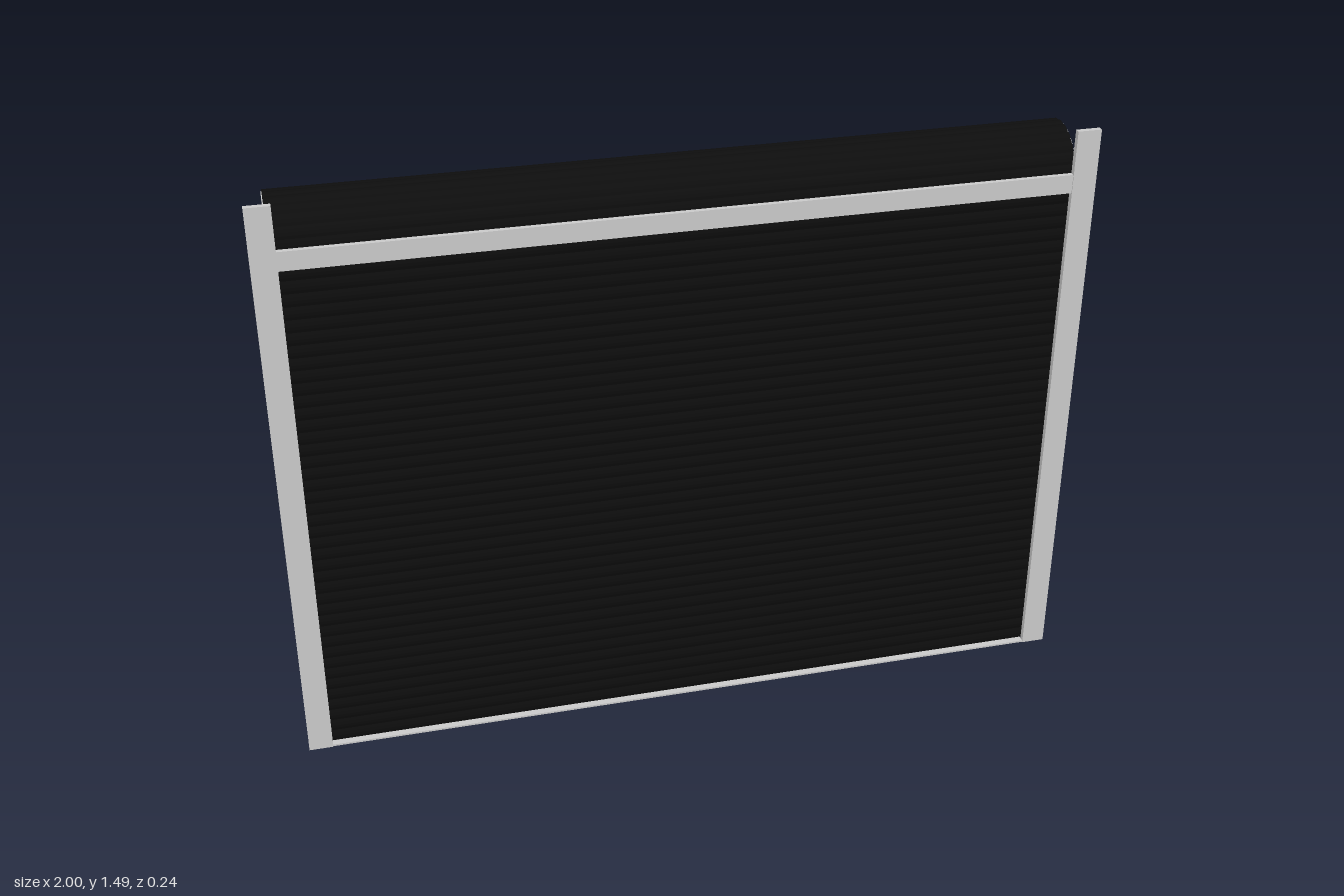
import * as THREE from 'three';

export function createModel() {
  const model = new THREE.Group();
  const steel = new THREE.MeshStandardMaterial({ color: 0xcccccc });
  const black = new THREE.MeshStandardMaterial({ color: 0x0d0d0d });

  const DRUM = { y: 1.36, z: -0.012, r: 0.102, halfLength: 0.955 };

  function add(name, geometry, material) {
    const mesh = new THREE.Mesh(geometry, material);
    mesh.name = name;
    model.add(mesh);
    return mesh;
  }

  // Box given by its minimum and maximum corners
  function box(name, [x0, y0, z0], [x1, y1, z1]) {
    const mesh = add(name, new THREE.BoxGeometry(x1 - x0, y1 - y0, z1 - z0), steel);
    mesh.position.set((x0 + x1) / 2, (y0 + y1) / 2, (z0 + z1) / 2);
    return mesh;
  }

  // Extrude a (z, y) outline along x, centred on x = 0
  function extrudeAcross(points, width) {
    const shape = new THREE.Shape(points.map(([z, y]) => new THREE.Vector2(z, y)));
    return new THREE.ExtrudeGeometry(shape, { depth: width, bevelEnabled: false })
      .translate(0, 0, -width / 2)
      .rotateY(-Math.PI / 2);
  }

  // Curtain of gently curved slats
  const slats = 42, steps = 4, top = 1.36, bottom = 0.005;
  const front = [], back = [];
  for (let i = 0; i <= slats * steps; i++) {
    const y = bottom + (top - bottom) * i / (slats * steps);
    const bulge = 0.004 * Math.sin(Math.PI * (i % steps) / steps);
    front.push([0.1 + bulge, y]);
    back.push([0.096 + bulge, y]);
  }
  add('curtain', extrudeAcross([...front, ...back.reverse()], 1.91), black);

  // Rolled part of the curtain, with the same slats around the drum
  const rolled = [], turns = 22;
  for (let i = 0; i < turns * steps; i++) {
    const a = 2 * Math.PI * i / (turns * steps);
    const r = DRUM.r + 0.003 * Math.sin(Math.PI * (i % steps) / steps);
    rolled.push([DRUM.z + r * Math.cos(a), DRUM.y + r * Math.sin(a)]);
  }
  add('rolledCurtain', extrudeAcross(rolled, DRUM.halfLength * 2), black);

  // Header and bottom rail
  box('header', [-0.94, 1.328, 0.105], [0.94, 1.375, 0.118]);
  box('bottomRail', [-0.94, 0, 0.095], [0.94, 0.005, 0.118]);

  for (const [side, s] of [['left', 1], ['right', -1]]) {
    // Front post and the guide channel behind it
    box(side + 'Post', [s > 0 ? 0.94 : -1, 0, 0.106], [s > 0 ? 1 : -0.94, 1.485, 0.12]);
    for (const [part, a, b] of [['GuideOuter', 0.956, 0.988], ['GuideLip', 0.942, 0.957]]) {
      const z0 = part === 'GuideLip' ? 0.1045 : 0.093;
      box(side + part, [Math.min(s * a, s * b), 0.005, z0], [Math.max(s * a, s * b), 1.328, 0.106]);
    }

    // Drum end plate
    const plate = add(side + 'EndPlate', new THREE.CylinderGeometry(0.101, 0.101, 0.004, 48), steel);
    plate.rotation.z = Math.PI / 2;
    plate.position.set(s * DRUM.halfLength, DRUM.y, DRUM.z);

    // Sloping bracket carrying the drum
    const arm = add(side + 'Bracket', extrudeAcross(
      [[0.106, 1.325], [0.106, 1.37], [-0.085, 1.405], [-0.085, 1.36]], 0.02), steel);
    arm.position.x = s * 0.974;

    // Axle stub
    const axle = add(side + 'Axle', new THREE.CylinderGeometry(0.012, 0.012, 0.036, 20), steel);
    axle.rotation.z = Math.PI / 2;
    axle.position.set(s * 0.968, 1.368, DRUM.z);
  }

  return model;
}
